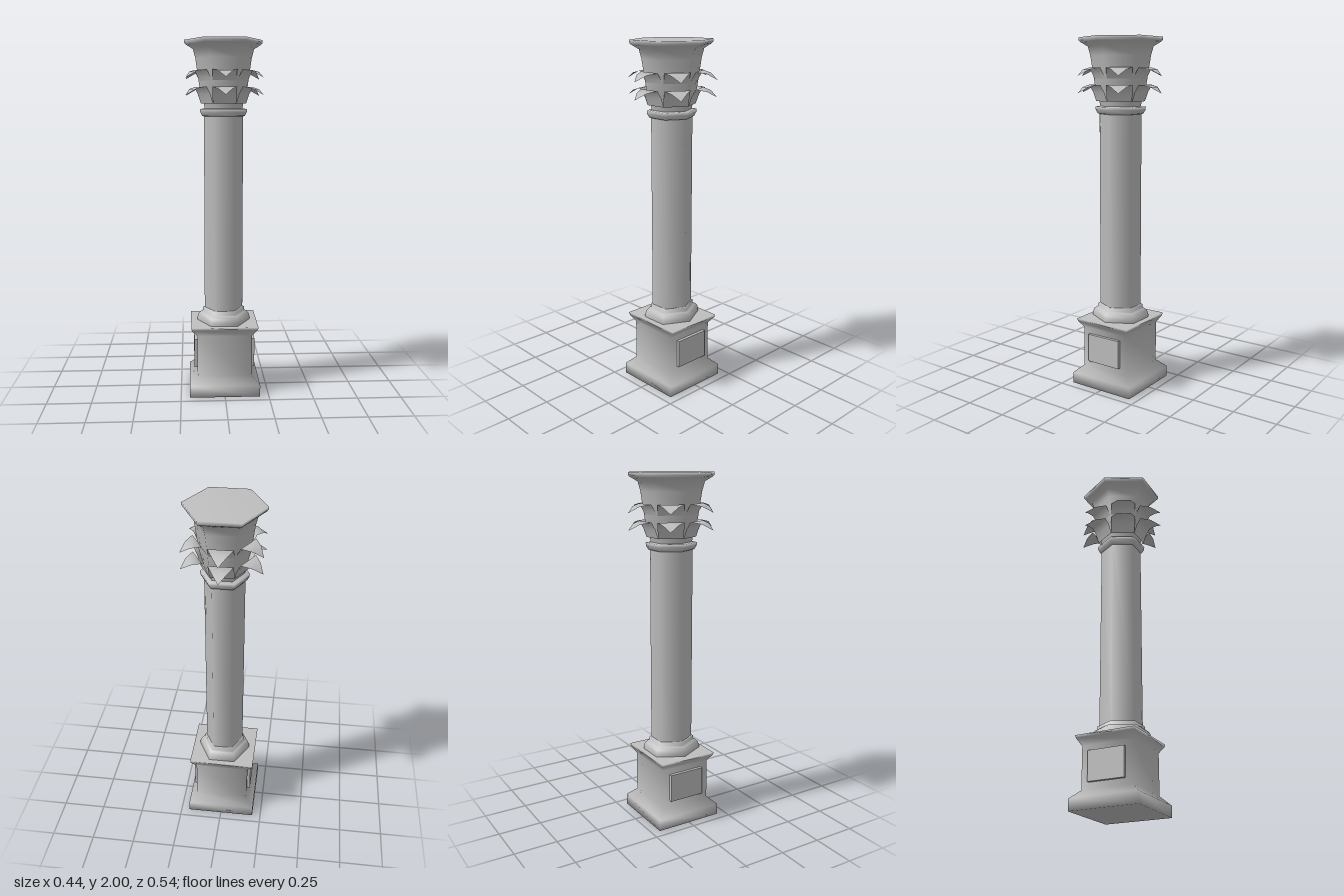
import * as THREE from 'three';

const stone = new THREE.MeshStandardMaterial({ color: 0xbfbfbf });
stone.name = 'grey stone';
const leafStone = stone.clone();
leafStone.side = THREE.DoubleSide;
leafStone.name = 'grey stone leaf';

const DEPTH = 1.1; // the hexagonal parts are slightly stretched in z

// Turned part with few sides; points are [radius, height] from bottom to top
function turned(name, points, sides, start) {
  const profile = points.map(([r, y]) => new THREE.Vector2(r, y));
  const mesh = new THREE.Mesh(new THREE.LatheGeometry(profile, sides, start), stone);
  mesh.name = name;
  return mesh;
}

function hexPart(name, points) {
  const mesh = turned(name, points, 6, Math.PI / 2);
  mesh.scale.z = DEPTH;
  return mesh;
}

// Thin leaf: rows of [distance out, height, half width], ending in a point
function leafGeometry() {
  const rows = [[0.11, -0.09, 0.064], [0.127, -0.04, 0.066], [0.15, 0, 0.066], [0.2, -0.012, 0.038], [0.245, -0.045, 0]];
  const positions = [];
  const index = [];
  rows.forEach(([out, y, w], i) => {
    positions.push(-w, y, out, w, y, out);
    if (i > 0) {
      const a = 2 * (i - 1);
      index.push(a, a + 1, a + 3, a, a + 3, a + 2);
    }
  });
  const geometry = new THREE.BufferGeometry();
  geometry.setAttribute('position', new THREE.Float32BufferAttribute(positions, 3));
  geometry.setIndex(index);
  geometry.computeVertexNormals();
  return geometry;
}

export function createModel() {
  const column = new THREE.Group();
  column.name = 'column';

  // Square pedestal with flared foot and cornice
  const square = [[0, 0], [0.2, 0], [0.2, 0.065], [0.155, 0.11], [0.155, 0.345], [0.187, 0.385], [0.19, 0.4], [0, 0.4]];
  const pedestal = turned('pedestal', square.map(([r, y]) => [r * Math.SQRT2, y]), 4, Math.PI / 4);
  pedestal.scale.z = 0.97;
  // The foot keeps its full square plan
  const pos = pedestal.geometry.attributes.position;
  for (let i = 0; i < pos.count; i++) {
    if (pos.getY(i) < 0.1) pos.setZ(i, pos.getZ(i) / 0.97);
    else if (pos.getY(i) > 0.37) pos.setZ(i, pos.getZ(i) * 0.95);
  }
  column.add(pedestal);

  // Raised panels on the two sides of the pedestal
  for (const side of [-1, 1]) {
    const panel = new THREE.Mesh(new THREE.BoxGeometry(0.04, 0.165, 0.212), stone);
    panel.name = side > 0 ? 'leftPanel' : 'rightPanel';
    panel.position.set(side * 0.153, 0.23, 0);
    column.add(panel);
  }

  // Hexagonal shaft with its base moulding and neck collar
  column.add(hexPart('baseMoulding', [
    [0.153, 0.4], [0.153, 0.415], [0.146, 0.438], [0.132, 0.452], [0.121, 0.455], [0.121, 0.475], [0.11, 0.477],
  ]));
  column.add(hexPart('shaft', [[0.11, 0.45], [0.11, 1.6]]));
  column.add(hexPart('collar', [
    [0.108, 1.58], [0.12, 1.584], [0.131, 1.605], [0.132, 1.622], [0.09, 1.626],
  ]));

  // Flared capital with a flat hexagonal top
  column.add(hexPart('capital', [
    [0.104, 1.61], [0.112, 1.66], [0.134, 1.74], [0.147, 1.83], [0.157, 1.9],
    [0.17, 1.95], [0.21, 1.975], [0.218, 1.985], [0.218, 2], [0, 2],
  ]));

  // Two rows of drooping leaves, one on each face of the capital
  const leaf = leafGeometry();
  [1.742, 1.835].forEach((y, row) => {
    const ring = new THREE.Group();
    ring.name = row ? 'upperLeaves' : 'lowerLeaves';
    ring.position.y = y;
    ring.scale.z = DEPTH;
    for (let i = 0; i < 6; i++) {
      const mesh = new THREE.Mesh(leaf, leafStone);
      mesh.name = 'leaf';
      mesh.rotation.y = i * Math.PI / 3;
      ring.add(mesh);
    }
    column.add(ring);
  });

  return column;
}
